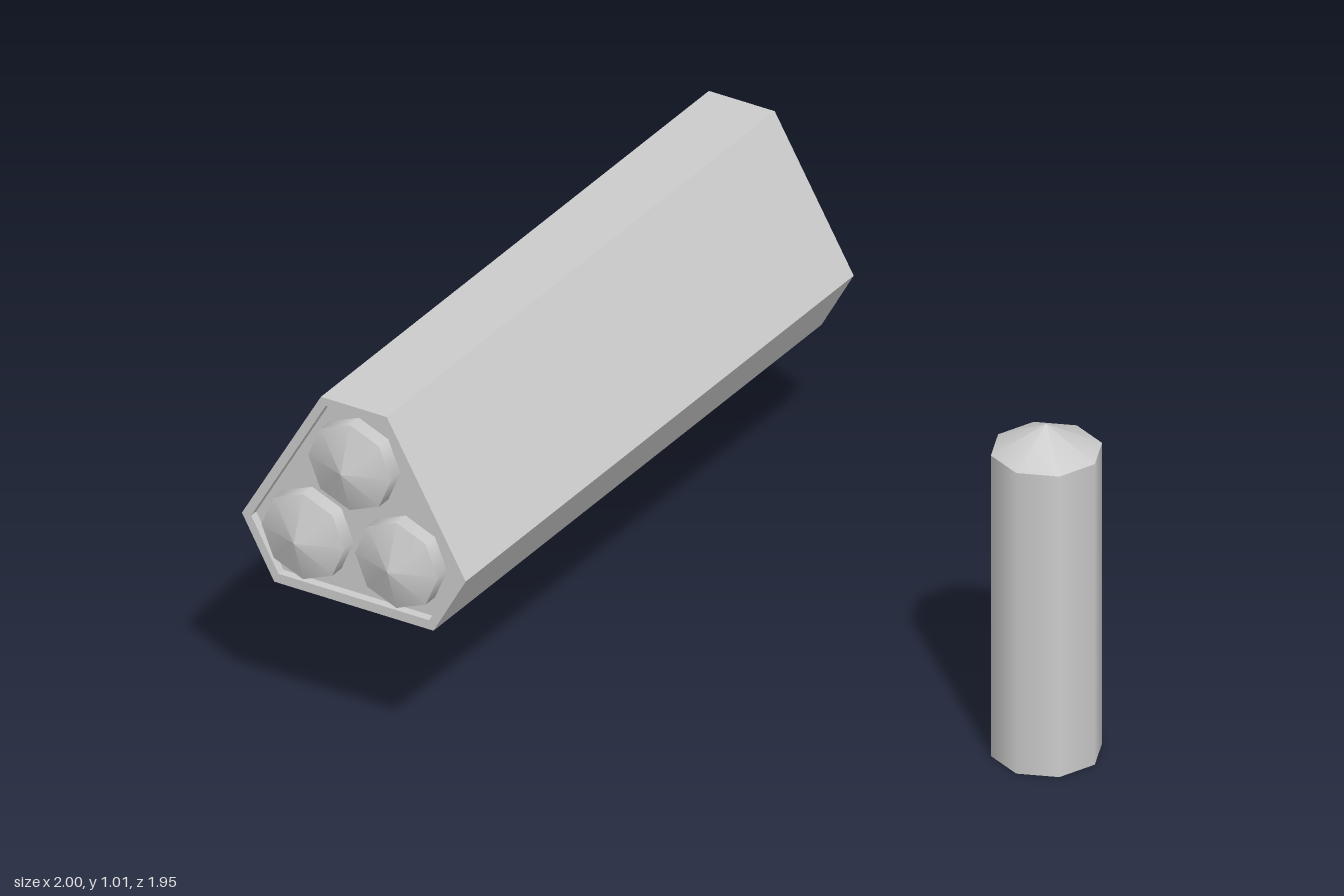
import * as THREE from 'three';

const material = new THREE.MeshStandardMaterial({ color: 0xcccccc });

function addMesh(parent, name, geometry, x = 0, y = 0, z = 0) {
  const mesh = new THREE.Mesh(geometry, material);
  mesh.name = name;
  mesh.position.set(x, y, z);
  parent.add(mesh);
  return mesh;
}

// Six-cornered outline, symmetric about x = 0: half widths at top, middle and bottom
function hexPoints([top, topY], [mid, midY], [low, lowY]) {
  return [[-low, lowY], [low, lowY], [mid, midY], [top, topY], [-top, topY], [-mid, midY]]
    .map(([x, y]) => new THREE.Vector2(x, y));
}

// Eight-sided body standing on y = 0 with a low conical nose
function createRocket(name, radius, height, noseHeight) {
  const rocket = new THREE.Group();
  rocket.name = name;
  addMesh(rocket, 'rocketBody', new THREE.CylinderGeometry(radius, radius, height, 8, 1, true), 0, height / 2);
  addMesh(rocket, 'rocketNose', new THREE.ConeGeometry(radius, noseHeight, 8, 1, true), 0, height + noseHeight / 2);
  const base = addMesh(rocket, 'rocketBase', new THREE.CircleGeometry(radius, 8));
  base.rotation.x = Math.PI / 2;
  return rocket;
}

export function createModel() {
  const model = new THREE.Group();
  model.name = 'rocketLauncher';

  const pod = new THREE.Group();
  pod.name = 'launcherPod';
  pod.position.x = -0.66;
  model.add(pod);

  // Casing, open at both ends with a narrow rim
  const outer = hexPoints([0.1, 1.015], [0.34, 0.6], [0.242, 0.425]);
  const inner = hexPoints([0.085, 0.993], [0.312, 0.6], [0.229, 0.452]);
  const casing = new THREE.Shape(outer);
  casing.holes.push(new THREE.Path(inner));
  addMesh(pod, 'casing',
    new THREE.ExtrudeGeometry(casing, { depth: 1.885, bevelEnabled: false }), 0, 0, -0.975);

  // Core block, whose ends sit slightly behind the rims
  addMesh(pod, 'recessedCore',
    new THREE.ExtrudeGeometry(new THREE.Shape(inner), { depth: 1.835, bevelEnabled: false }), 0, 0, -0.95);

  // Loaded rockets in front, square contact plates behind
  for (const [x, y] of [[0, 0.845], [-0.142, 0.598], [0.142, 0.598]]) {
    const rocket = createRocket('loadedRocket', 0.126, 0.06, 0.045);
    rocket.rotation.x = Math.PI / 2;
    rocket.position.set(x, y, 0.87);
    pod.add(rocket);
    addMesh(pod, 'contactPlate', new THREE.BoxGeometry(0.125, 0.125, 0.04), x, y, -0.948);
  }

  // Spare rocket standing beside the pod
  const spare = createRocket('spareRocket', 0.147, 0.89, 0.075);
  spare.position.set(0.853, 0, -0.036);
  model.add(spare);

  return model;
}
